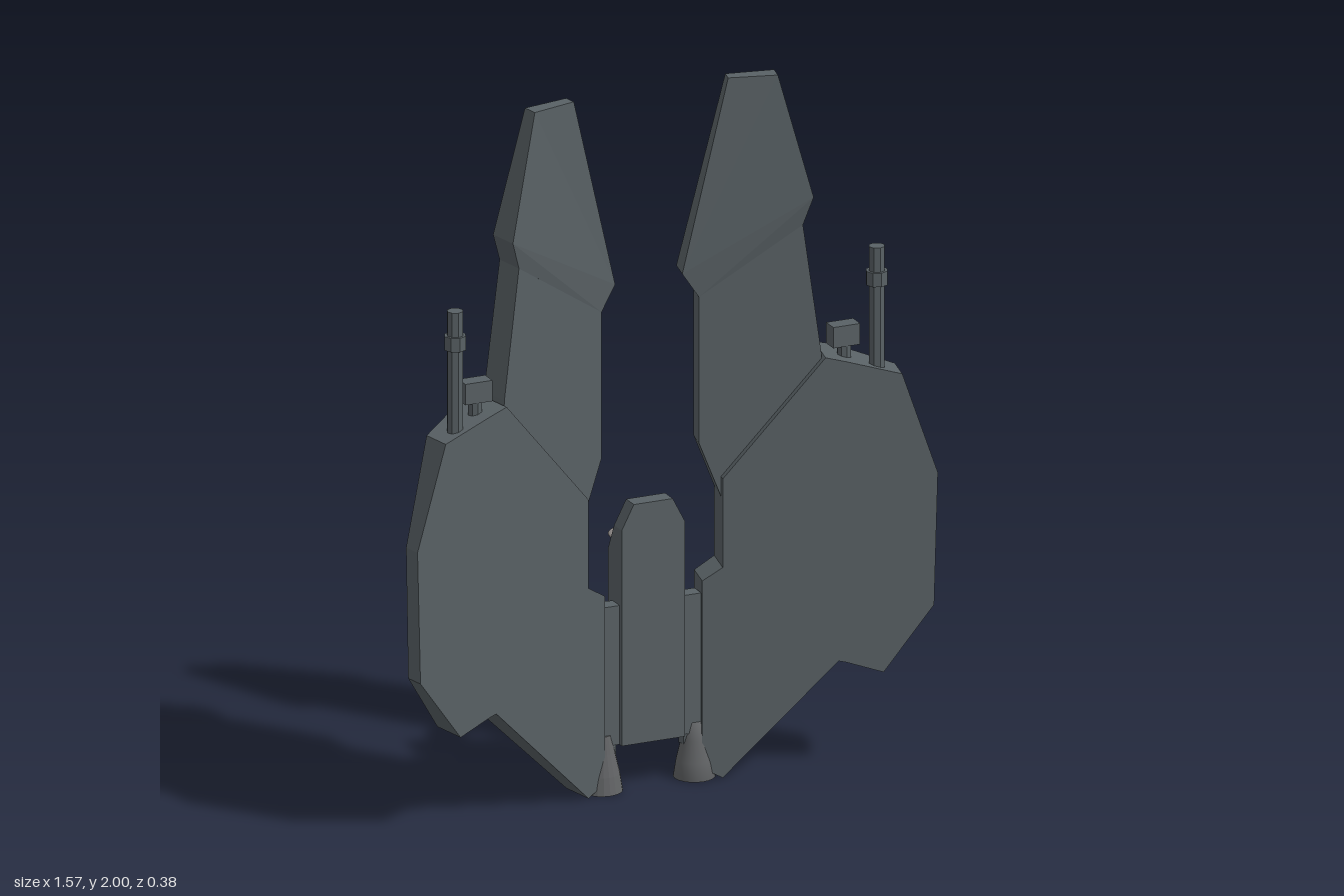
import * as THREE from 'three';

// Skin between outlines ordered back to front (each counter-clockwise seen from the front), capped at both ends
function loft(rings) {
  const pos = [];
  const tri = (a, b, c) => pos.push(...a, ...b, ...c);
  const n = rings[0].length;
  for (let r = 0; r < rings.length - 1; r++) {
    const b = rings[r], f = rings[r + 1];
    for (let i = 0; i < n; i++) {
      const j = (i + 1) % n;
      tri(b[i], b[j], f[j]);
      tri(b[i], f[j], f[i]);
    }
  }
  const cap = (ring, flip) => {
    const flat = ring.map(p => new THREE.Vector2(p[0], p[1]));
    for (const [a, b, c] of THREE.ShapeUtils.triangulateShape(flat, [])) {
      if (flip) tri(ring[a], ring[c], ring[b]);
      else tri(ring[a], ring[b], ring[c]);
    }
  };
  cap(rings[0], true);
  cap(rings[rings.length - 1], false);
  const g = new THREE.BufferGeometry();
  g.setAttribute('position', new THREE.Float32BufferAttribute(pos, 3));
  g.computeVertexNormals();
  return g;
}

// Plate from an outline, with front and back depth given per corner; edges lean with the wing's sweep
function plate(outline, zBack, zFront) {
  const front = outline.map(([x, y], i) => [x, y, zFront(x, y, i)]);
  const back = outline.map(([x, y], i) => {
    const z = zBack(x, y, i);
    return [x + 0.2 * (front[i][2] - z), y, z];
  });
  return loft([back, front]);
}

// Mirror a geometry across x = 0, keeping its faces outward
function mirrored(geometry) {
  const g = geometry.index ? geometry.toNonIndexed() : geometry.clone();
  g.scale(-1, 1, 1);
  for (const attribute of Object.values(g.attributes)) {
    for (let i = 0; i < attribute.count; i += 3) {
      for (let k = 0; k < attribute.itemSize; k++) {
        const t = attribute.getComponent(i + 1, k);
        attribute.setComponent(i + 1, k, attribute.getComponent(i + 2, k));
        attribute.setComponent(i + 2, k, t);
      }
    }
  }
  g.computeVertexNormals();
  return g;
}

const cylinder = (rTop, rBottom, y0, y1, x, z, sides = 8) =>
  new THREE.CylinderGeometry(rTop, rBottom, y1 - y0, sides).toNonIndexed().translate(x, (y0 + y1) / 2, z);

const box = (x0, x1, y0, y1, z0, z1) =>
  new THREE.BoxGeometry(x1 - x0, y1 - y0, z1 - z0).translate((x0 + x1) / 2, (y0 + y1) / 2, (z0 + z1) / 2);

export function createModel() {
  const model = new THREE.Group();
  model.name = 'spacecraft';
  const hull = new THREE.MeshStandardMaterial({ name: 'hull grey', color: 0x596165, flatShading: true });
  const metal = new THREE.MeshStandardMaterial({ name: 'engine grey', color: 0x626466, side: THREE.DoubleSide });
  const pale = new THREE.MeshStandardMaterial({ name: 'pale dish', color: 0x95908e });

  const add = (parent, name, geometry, material = hull) => {
    const mesh = new THREE.Mesh(geometry, material);
    mesh.name = name;
    parent.add(mesh);
  };

  const parts = [];
  const part = (name, geometry, material) => parts.push([name, geometry, material]);

  // Wing body: thick inner plate and an outer plate that tapers to the tip
  const bodyFront = x => 0.045 + 0.25 * (x - 0.2);
  const innerBack = x => -0.055 + 0.12 * (x - 0.2);
  const outerBack = x => -0.015 + 0.62 * (x - 0.53);
  part('innerWing', plate([
    [0.145, 0.03], [0.2, 0], [0.51, 0.315], [0.53, 0.31], [0.53, 1.175], [0.475, 1.19],
    [0.2, 0.86], [0.2, 0.605], [0.145, 0.57],
  ], innerBack, bodyFront));
  part('outerWing', plate([
    [0.53, 0.31], [0.63, 0.275], [0.765, 0.46], [0.775, 0.84], [0.68, 1.13], [0.53, 1.175],
  ], outerBack, bodyFront));

  // Upright fin: lower blade, flared band and tapering tip
  part('finLower', plate([
    [0.205, 0.8], [0.475, 1.13], [0.472, 1.2], [0.423, 1.57], [0.145, 1.38], [0.145, 0.96],
  ], x => -0.05 + 0.15 * (x - 0.145), x => 0.01 + 0.25 * (x - 0.145)));
  const bandBack = [-0.05, -0.008, 0.005, -0.07];
  const bandFront = [0.01, 0.08, 0.095, 0];
  part('finBand', plate([[0.145, 1.38], [0.423, 1.57], [0.448, 1.65], [0.1, 1.45]],
    (x, y, i) => bandBack[i], (x, y, i) => bandFront[i]));
  const tipBack = [-0.07, 0.005, 0.005, -0.02];
  const tipFront = [0, 0.095, 0.05, 0.015];
  part('finTip', plate([[0.1, 1.45], [0.448, 1.65], [0.362, 2], [0.23, 2]],
    (x, y, i) => tipBack[i], (x, y, i) => tipFront[i]));

  // Guns on the wing shoulder
  part('longGunBarrel', cylinder(0.023, 0.023, 1.1, 1.49, 0.628, 0.112));
  part('longGunCollar', cylinder(0.031, 0.031, 1.38, 1.42, 0.628, 0.112));
  part('shortGunStem', cylinder(0.02, 0.02, 1.12, 1.21, 0.55, 0.07));
  part('shortGunHead', box(0.508, 0.588, 1.205, 1.265, 0.045, 0.092));

  // Turret on the back of the wing
  const turretRing = (w, y0, y1, c, z) => [
    [-w + c, y0], [w - c, y0], [w, y0 + c], [w, y1 - c], [w - c, y1], [-w + c, y1], [-w, y1 - c], [-w, y0 + c],
  ].map(([x, y]) => [x + 0.36, y, z]);
  part('turret', loft([
    turretRing(0.028, 0.735, 0.795, 0.012, -0.088),
    turretRing(0.056, 0.71, 0.815, 0.03, -0.055),
    turretRing(0.056, 0.71, 0.815, 0.03, -0.02),
  ]));
  part('turretBarrel', cylinder(0.012, 0.012, 0.78, 0.935, 0.36, -0.065));

  // Strut joining pod and wing, with its hinge rod
  part('strut', box(0.08, 0.15, 0.13, 0.53, -0.03, 0.015));
  part('hingeRod', cylinder(0.024, 0.024, 0.1, 0.53, 0.118, -0.01));

  // Flared engine nozzle, hollow underneath
  const nozzle = [[0, 0.16], [0.026, 0.16], [0.036, 0.11], [0.05, 0.05], [0.058, 0], [0.046, 0], [0.03, 0.07], [0, 0.07]]
    .reverse().map(([r, y]) => new THREE.Vector2(r, y));
  part('engineNozzle', new THREE.LatheGeometry(nozzle, 20).translate(0.138, 0, -0.005), metal);

  const left = new THREE.Group(), right = new THREE.Group();
  left.name = 'leftWing';
  right.name = 'rightWing';
  for (const [name, geometry, material] of parts) {
    add(left, name, geometry, material);
    add(right, name, mirrored(geometry), material);
  }

  // Central pod with a raised back
  const podRing = (w, wTop, y0, yShoulder, yTop, z) =>
    [[-w, y0], [w, y0], [w, yShoulder], [wTop, yTop], [-wTop, yTop], [-w, yShoulder]].map(([x, y]) => [x, y, z]);
  add(model, 'pod', loft([
    podRing(0.05, 0.04, 0.25, 0.5, 0.53, -0.143),
    podRing(0.094, 0.058, 0.13, 0.67, 0.72, -0.06),
    podRing(0.094, 0.058, 0.13, 0.75, 0.82, -0.02),
    podRing(0.094, 0.058, 0.13, 0.75, 0.82, 0.03),
  ]));

  // Sensor dish behind the pod
  const dish = new THREE.Group();
  dish.name = 'sensorDish';
  add(dish, 'disc', new THREE.SphereGeometry(0.055, 20, 10).scale(1, 0.25, 1).translate(0, 0.675, -0.135), pale);
  add(dish, 'dishHub', new THREE.OctahedronGeometry(0.032).translate(0, 0.675, -0.157), pale);
  add(dish, 'dishArm', new THREE.CylinderGeometry(0.012, 0.012, 0.1, 8).rotateX(Math.PI / 2).translate(0, 0.675, -0.07), pale);

  model.add(left, right, dish);
  return model;
}
